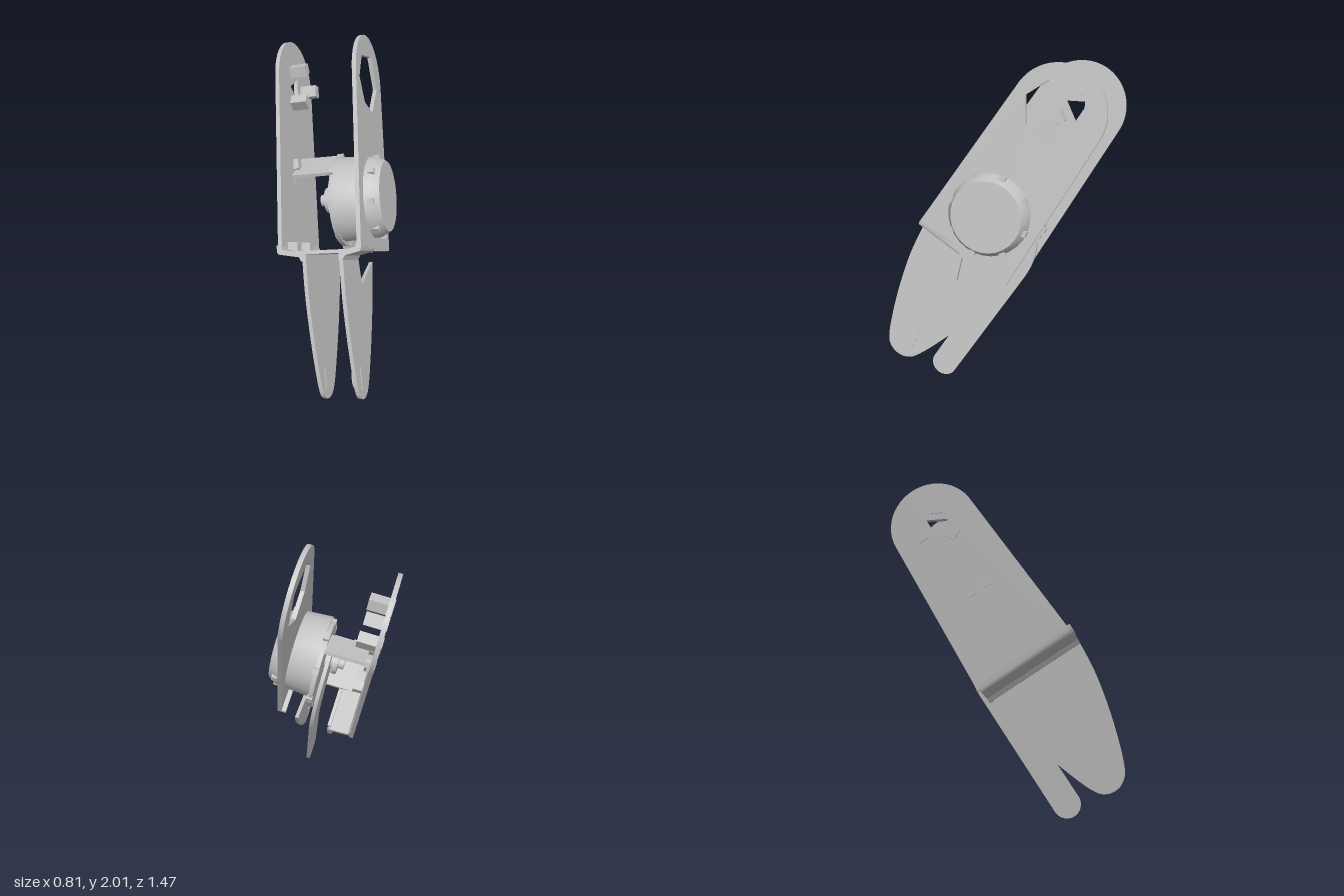
import * as THREE from 'three';
import { toCreasedNormals } from 'three/addons/utils/BufferGeometryUtils.js';

// Local frame: x across the plates, y along them, z through them (outer face at 0).
const ACROSS = new THREE.Vector3(0.503, -0.497, -0.7055);
const ALONG = new THREE.Vector3(0.093, 0.844, -0.528);
const THROUGH = new THREE.Vector3(0.858, 0.2, 0.471);
const ORIGIN = new THREE.Vector3(0.26, 1.745, -0.24);
const MID = -0.23; // middle plane between the two legs
const AXIS_Y = -0.685; // motor axis

export function createModel() {
  const grey = new THREE.MeshStandardMaterial({ color: 0xc2c2c2 });
  grey.name = 'grey metal';
  const frame = new THREE.Group();
  frame.name = 'gripperFrame';

  const add = (name, geometry, x = 0, y = 0, z = 0) => {
    const mesh = new THREE.Mesh(toCreasedNormals(geometry, 0.6), grey);
    mesh.name = name;
    mesh.position.set(x, y, z);
    frame.add(mesh);
    return mesh;
  };
  const box = (name, size, pos) => add(name, new THREE.BoxGeometry(...size), ...pos);
  // Flat sheet cut from a shape, centred on depth z
  const sheet = (name, shape, thick, z) =>
    add(name, new THREE.ExtrudeGeometry(shape, { depth: thick, bevelEnabled: false, curveSegments: 24 }), 0, 0, z - thick / 2);
  const points = (list) => list.map(([x, y]) => new THREE.Vector2(x, y));

  // Side plates: round head at (cx, cy), slightly wider foot, one opening each
  const sidePlate = (name, hole, cx, cy, z) => {
    const s = new THREE.Shape();
    s.moveTo(cx - 0.313, -0.985);
    s.lineTo(cx + 0.313, -0.985);
    s.lineTo(cx + 0.268, cy);
    s.absarc(cx, cy, 0.268, 0, Math.PI, false);
    s.closePath();
    s.holes.push(new THREE.Path(points(hole)));
    sheet(name, s, 0.024, z);
  };
  sidePlate('leftSidePlate',
    [[-0.137, 0.121], [-0.2, -0.017], [-0.11, -0.146], [0.044, -0.181], [0.17, -0.012], [0.073, 0.162]], 0, 0, -0.012);
  sidePlate('rightSidePlate', [[-0.06, 0.01], [0.055, -0.06], [0.055, 0.08]], 0.03, 0.03, -0.484);

  // Legs: bullet-shaped tongues below the plates, set inwards; the left one is notched at the top
  const curve = [[0.278, -1.23], [0.22, -1.47], [0.15, -1.68], [0.1, -1.79], [0.055, -1.832], [0, -1.845]];
  const leg = (name, top, z) => {
    const s = new THREE.Shape();
    s.moveTo(-0.305, -1.0);
    s.splineThru(points([...curve.map(([x, y]) => [-x, y]), ...curve.slice(0, -1).reverse(), top[0]]));
    for (const [x, y] of top.slice(1)) s.lineTo(x, y);
    s.closePath();
    sheet(name, s, 0.022, z);
    // Square pad near the tip
    box(name + 'TipPad', [0.11, 0.13, 0.03], [0, -1.71, z]).rotation.z = 0.15;
  };
  leg('leftLeg', [[0.3, -1.06], [0.05, -1.19], [-0.02, -1.0]], MID + 0.111);
  leg('rightLeg', [[0.305, -1.0]], MID - 0.103);

  // Fold joining plate and leg: section (depth, height) swept from x0 to x1
  const fold = (name, side, outer, x0, x1) => {
    const section = [[outer, -0.95], [outer, -0.985], [outer - 0.008, -1.0], [0.135, -1.02], [0.122, -1.045],
      [0.1, -1.045], [0.1, -1.015], [0.115, -0.995], [outer - 0.035, -0.975], [outer - 0.025, -0.95]];
    const s = new THREE.Shape(points(section.map(([n, l]) => [side * n, l])));
    const g = new THREE.ExtrudeGeometry(s, { depth: x1 - x0, bevelEnabled: false });
    g.translate(0, 0, -x1);
    add(name, g, 0, 0, MID).rotation.y = -Math.PI / 2;
  };
  fold('leftFold', 1, 0.23, -0.312, -0.01);
  fold('rightFold', -1, 0.266, -0.3, 0.33);
  box('leftLip', [0.322, 0.026, 0.05], [0.15, -0.985, -0.026]);

  // Base plate and bridging panel between the sides, with their tabs
  box('basePlate', [0.34, 0.02, 0.42], [-0.12, -0.995, MID - 0.015]);
  box('bridgePanel', [0.2, 0.02, 0.27], [0, -0.48, -0.34]).rotation.z = 0.64;
  box('bridgeFlange', [0.2, 0.05, 0.02], [0.015, -0.5, -0.465]).rotation.z = 0.64;
  for (const x of [-0.035, 0.065]) box('bridgeTab', [0.05, 0.06, 0.06], [x, -0.46, -0.471]);
  for (const x of [-0.18, 0.02]) box('baseTab', [0.06, 0.06, 0.06], [x, -0.96, -0.435]);

  // Three stop blocks around the small opening
  for (let i = 0; i < 3; i++) {
    const a = (i * 2 * Math.PI) / 3;
    box('stopBlock', [0.06, 0.07, 0.128], [0.02 + 0.112 * Math.cos(a), 0.01 + 0.112 * Math.sin(a), -0.437]).rotation.z = a;
  }

  // Motor: turned drum through the left plate, profiles as (radius, depth)
  const turned = (name, profile, segments, x, y) => {
    const g = new THREE.LatheGeometry(points(profile), segments);
    g.rotateX(Math.PI / 2);
    // Turning the axis flips depth, so flip it back
    g.rotateX(0);
    return add(name, g, x, y, 0);
  };
  turned('motorDrum', [[0, -0.18], [0.25, -0.18], [0.235, 0.035], [0.205, 0.085], [0, 0.085]], 28, 0.005, AXIS_Y);
  turned('motorFlange', [[0, -0.205], [0.265, -0.205], [0.265, -0.18], [0, -0.18]], 28, 0.04, AXIS_Y - 0.01);
  turned('motorHub', [[0, -0.32], [0.035, -0.32], [0.035, -0.285], [0.075, -0.285], [0.075, -0.255],
    [0.05, -0.255], [0.05, -0.195]], 16, 0.005, AXIS_Y);
  for (let i = 0; i < 8; i++) {
    const a = (i * Math.PI) / 4 + 0.2;
    for (const [x, r, z] of [[0.005, 0.228, 0.04], [0.04, 0.258, -0.19]]) {
      box('motorLug', [0.03, 0.035, 0.035], [x + r * Math.cos(a), AXIS_Y + r * Math.sin(a), z]).rotation.z = a;
    }
  }

  // Middle finger: long strip hanging from the motor hub
  const f = new THREE.Shape();
  f.moveTo(0.195, -1.76);
  f.lineTo(0.2, -1.15);
  f.quadraticCurveTo(0.18, -0.95, -0.08, -0.8);
  f.absarc(0.005, AXIS_Y, 0.14, Math.PI * 1.2, Math.PI * 0.4, true);
  f.quadraticCurveTo(0.36, -0.65, 0.365, -0.95);
  f.lineTo(0.355, -1.76);
  f.absarc(0.275, -1.76, 0.08, 0, -Math.PI, true);
  sheet('middleFinger', f, 0.022, MID);

  // Tilt the assembly, then stand and centre it
  frame.applyMatrix4(new THREE.Matrix4().makeBasis(ACROSS, ALONG, THROUGH).setPosition(ORIGIN));
  const model = new THREE.Group();
  model.name = 'gripper';
  model.add(frame);
  model.updateMatrixWorld(true);
  const b = new THREE.Box3().setFromObject(model, true);
  const c = b.getCenter(new THREE.Vector3());
  model.position.set(-c.x, -b.min.y, -c.z);
  return model;
}
